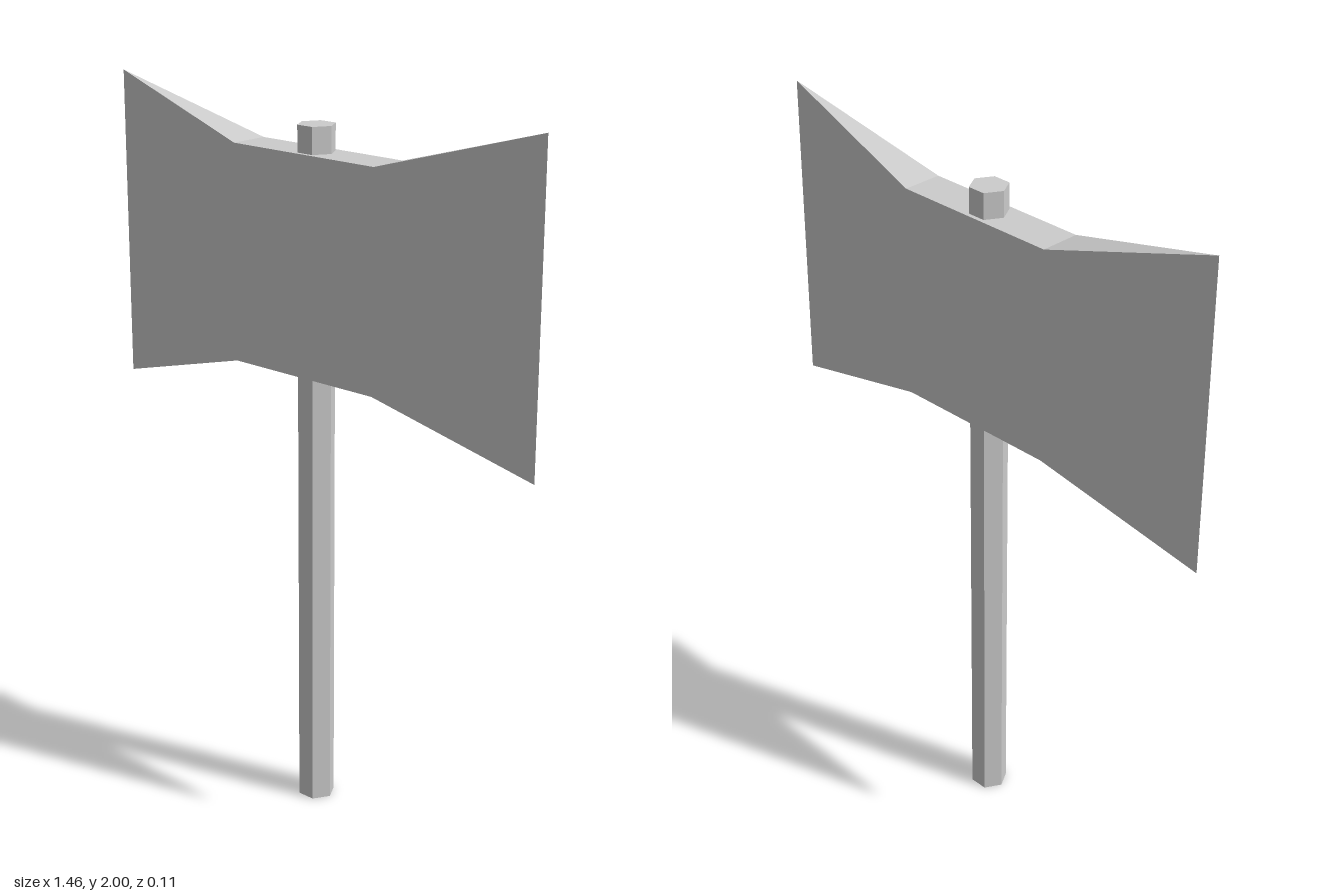
import * as THREE from 'three';

const material = new THREE.MeshStandardMaterial({ color: 0xcccccc, flatShading: true });

// Double blade: a box in three sections whose outer ends flare in height and pinch to an edge
function bladeGeometry() {
  const halfWidth = 0.73;
  const box = new THREE.BoxGeometry(halfWidth * 2, 0.6, 0.113, 3, 1, 1);
  // The pinched end faces (the first 12 indices) have no area, so drop them
  box.setIndex(Array.from(box.index.array).slice(12));
  box.clearGroups();
  const pos = box.attributes.position;
  for (let i = 0; i < pos.count; i++) {
    if (Math.abs(pos.getX(i)) > halfWidth - 0.01) {
      pos.setY(i, Math.sign(pos.getY(i)) * 0.437);
      pos.setZ(i, 0);
    }
  }
  const geometry = box.toNonIndexed();
  geometry.computeVertexNormals();
  return geometry;
}

export function createModel() {
  const group = new THREE.Group();
  group.name = 'doubleAxe';

  // Six-sided handle with corners pointing to the sides
  const handleHeight = 1.935;
  const handle = new THREE.Mesh(
    new THREE.CylinderGeometry(0.052, 0.052, handleHeight, 6).rotateY(Math.PI / 2),
    material
  );
  handle.name = 'handle';
  handle.position.y = handleHeight / 2;
  group.add(handle);

  const blade = new THREE.Mesh(bladeGeometry(), material);
  blade.name = 'doubleBlade';
  blade.position.y = 1.563;
  group.add(blade);

  return group;
}
